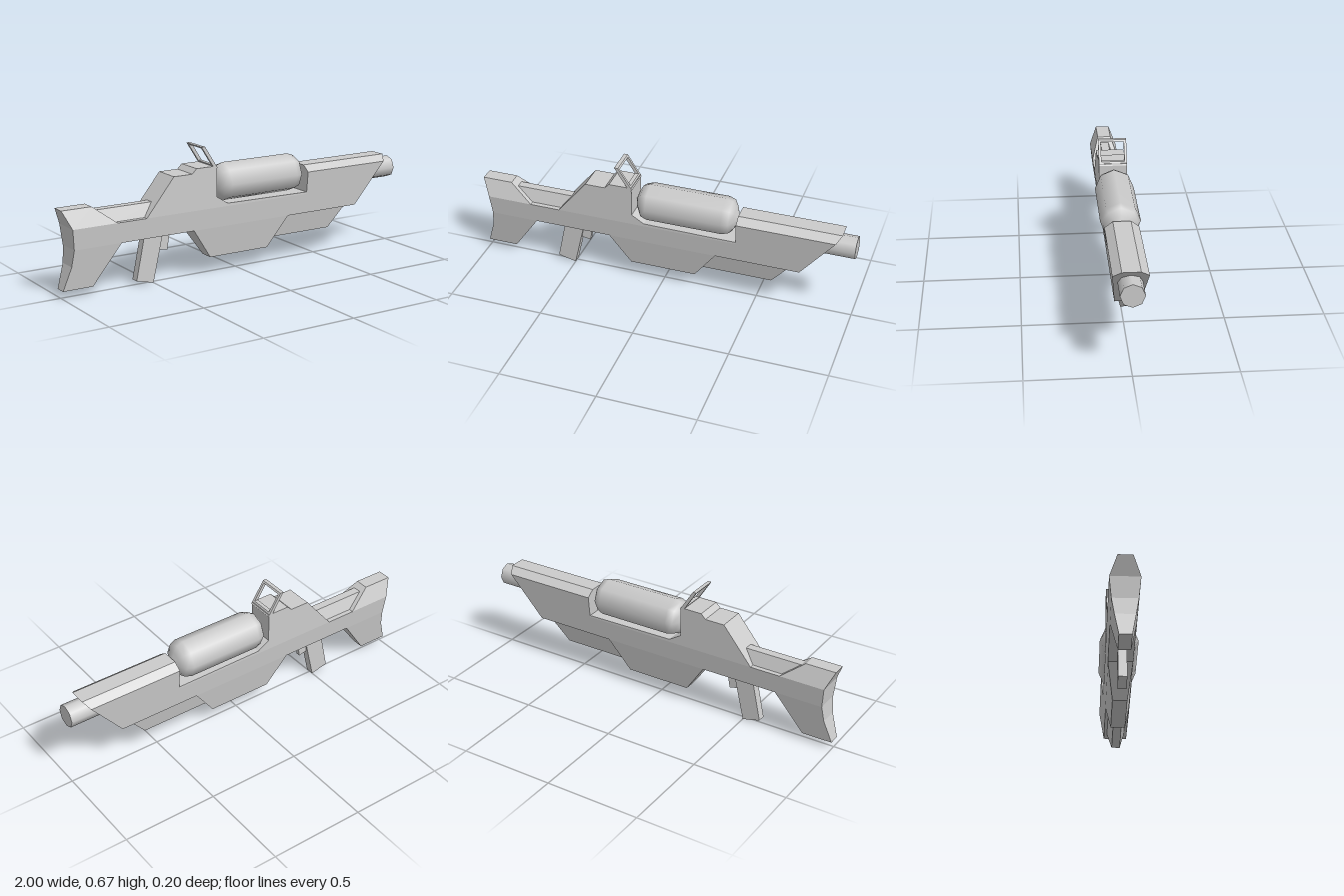
import * as THREE from 'three';

const material = new THREE.MeshStandardMaterial({ color: 0xcccccc });
const flatMaterial = new THREE.MeshStandardMaterial({ color: 0xcccccc, flatShading: true });

const outline = (points) => points.map(([x, y]) => new THREE.Vector2(x, y));

// Side profile whose half thickness runs linearly from w0 at height y0 to w1 at y1
function slab(name, points, y0, w0, y1 = y0 + 1, w1 = w0) {
  const geometry = new THREE.ExtrudeGeometry(new THREE.Shape(outline(points)), { depth: 2, bevelEnabled: false });
  const p = geometry.attributes.position;
  for (let i = 0; i < p.count; i++) {
    const w = w0 + ((w1 - w0) * (p.getY(i) - y0)) / (y1 - y0);
    p.setZ(i, (p.getZ(i) - 1) * w);
  }
  geometry.computeVertexNormals();
  const mesh = new THREE.Mesh(geometry, flatMaterial);
  mesh.name = name;
  return mesh;
}

// Tilted rectangular sight frame: a flat frame sheared backwards
function sightFrame() {
  const shape = new THREE.Shape(outline([[-0.073, 0.555], [0.073, 0.555], [0.073, 0.67], [-0.073, 0.67]]));
  shape.holes.push(new THREE.Path(outline([[-0.06, 0.573], [-0.06, 0.661], [0.06, 0.661], [0.06, 0.573]])));
  const geometry = new THREE.ExtrudeGeometry(shape, { depth: 0.02, bevelEnabled: false });
  geometry.rotateY(Math.PI / 2);
  const p = geometry.attributes.position;
  for (let i = 0; i < p.count; i++) p.setX(i, p.getX(i) - 0.178 - (p.getY(i) - 0.565) * 0.64);
  geometry.computeVertexNormals();
  const mesh = new THREE.Mesh(geometry, flatMaterial);
  mesh.name = 'sightFrame';
  return mesh;
}

export function createModel() {
  const model = new THREE.Group();
  model.name = 'rifle';

  model.add(
    // Tapering lower half of the body
    slab('buttLower', [[-1, 0.04], [-0.84, 0.04], [-0.695, 0.245], [-0.95, 0.245], [-0.96, 0.16]], 0.04, 0.03, 0.245, 0.0625),
    slab('belly', [[-0.175, 0.085], [0.175, 0.085], [0.29, 0.245], [-0.285, 0.245]], 0.04, 0.03, 0.245, 0.0625),
    slab('body', [[-0.95, 0.245], [0.73, 0.245], [0.812, 0.35], [-0.96, 0.35]], 0.245, 0.0625, 0.35, 0.073),
    slab('foreGrip', [[0.17, 0.132], [0.58, 0.132], [0.67, 0.245], [0.17, 0.245]], 0.132, 0.022, 0.245, 0.046),

    // Stock top and cheek rest
    slab('buttUpper', [[-0.96, 0.35], [-0.72, 0.35], [-0.84, 0.44], [-1, 0.44]], 0.35, 0.073, 0.44, 0.036),
    slab('cheekRest', [[-0.73, 0.345], [-0.54, 0.345], [-0.49, 0.417], [-0.81, 0.417]], 0.345, 0.05, 0.417, 0.022),

    // Receiver housing with the cradle under the tank
    slab('receiver', [[-0.56, 0.35], [0.4, 0.35], [0.4, 0.36], [-0.09, 0.365], [-0.155, 0.405],
      [-0.155, 0.565], [-0.275, 0.565], [-0.3, 0.54], [-0.405, 0.54]], 0.35, 0.073),

    // Barrel shroud, widening and then chamfered at the top
    slab('shroud', [[0.4, 0.35], [0.812, 0.35], [0.906, 0.469], [0.4, 0.469]], 0.35, 0.073, 0.469, 0.085),
    slab('shroudTop', [[0.4, 0.469], [0.906, 0.469], [0.93, 0.5], [0.4, 0.5]], 0.469, 0.085, 0.5, 0.044),

    // Hand grip and trigger
    slab('handGrip', [[-0.595, 0.023], [-0.5, 0], [-0.44, 0.26], [-0.545, 0.26]], 0, 0.022),
    slab('trigger', [[-0.46, 0.165], [-0.413, 0.155], [-0.395, 0.26], [-0.45, 0.26]], 0, 0.012),
    sightFrame(),
  );

  // Eight-sided gas tank lying along the body
  const profile = outline([[0, -0.275], [0.055, -0.255], [0.088, -0.235], [0.1, -0.2],
    [0.1, 0.2], [0.088, 0.235], [0.055, 0.255], [0, 0.275]]);
  const tank = new THREE.Mesh(new THREE.LatheGeometry(profile, 8), material);
  tank.name = 'tank';
  tank.rotation.z = -Math.PI / 2;
  tank.position.set(0.123, 0.463, 0);

  // Muzzle
  const muzzle = new THREE.Mesh(new THREE.CylinderGeometry(0.0585, 0.0585, 0.3, 8), material);
  muzzle.name = 'muzzle';
  muzzle.rotation.z = -Math.PI / 2;
  muzzle.position.set(0.85, 0.4175, 0);

  model.add(tank, muzzle);
  return model;
}
